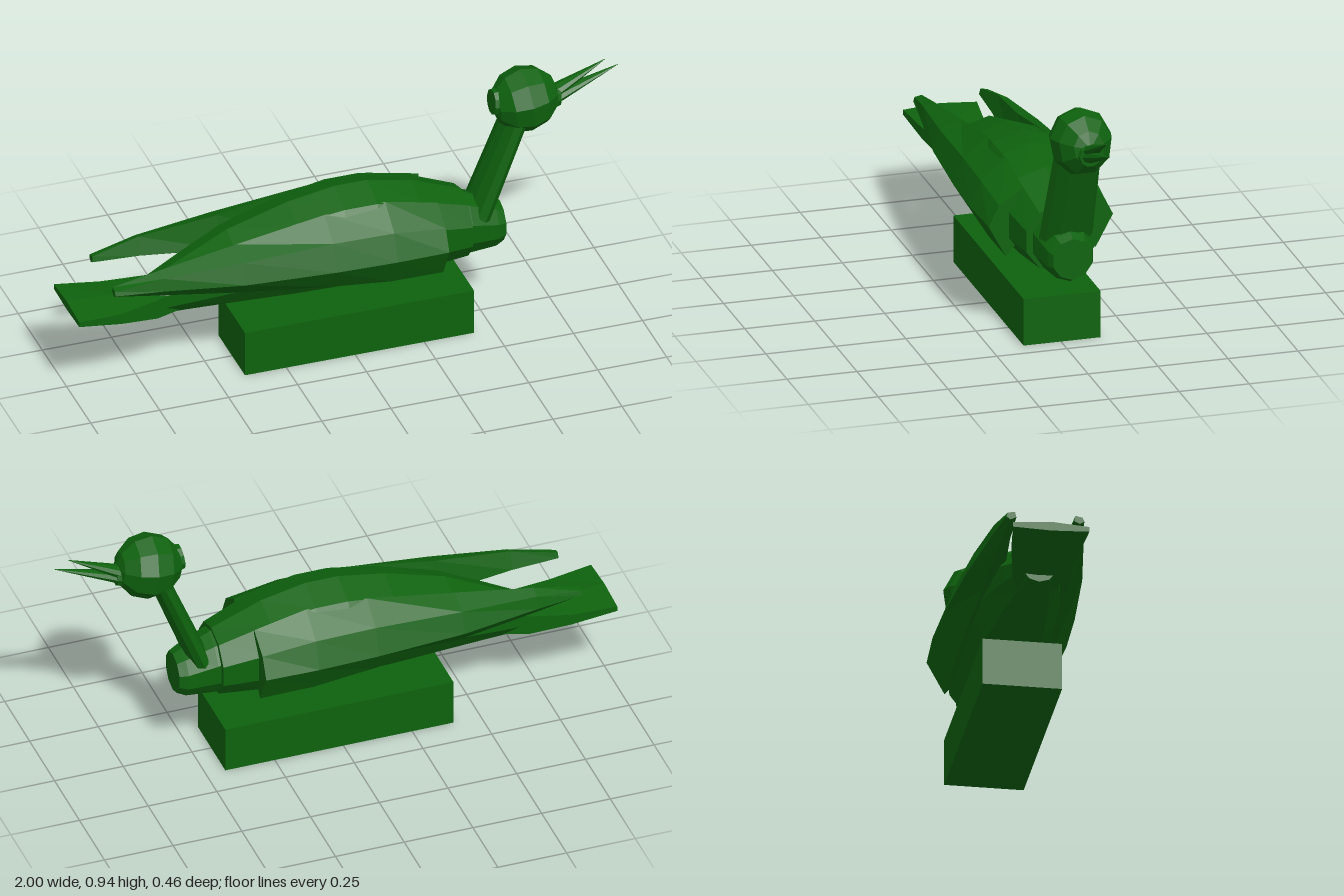
import * as THREE from 'three';

const material = new THREE.MeshStandardMaterial({ color: 0x0e620e, flatShading: true, side: THREE.DoubleSide });

// Skin a list of sections [x, [[z, y], ...]] running from back to front, with both ends capped.
function loft(sections) {
  const n = sections[0][1].length, pos = [], index = [];
  for (const [x, ring] of sections) for (const [z, y] of ring) pos.push(x, y, z);
  for (let s = 0; s < sections.length - 1; s++) {
    for (let j = 0; j < n; j++) {
      const a = s * n + j, b = s * n + (j + 1) % n;
      index.push(a, a + n, b, b, a + n, b + n);
    }
  }
  const last = (sections.length - 1) * n;
  for (let j = 1; j < n - 1; j++) {
    index.push(0, j, j + 1, last, last + j + 1, last + j);
  }
  const g = new THREE.BufferGeometry();
  g.setAttribute('position', new THREE.Float32BufferAttribute(pos, 3));
  g.setIndex(index);
  const flat = g.toNonIndexed();
  flat.computeVertexNormals();
  return flat;
}

// Polygonal oval between two heights, widest at its middle.
function oval(bottom, top, halfWidth, sides = 10) {
  return Array.from({ length: sides }, (_, i) => {
    const a = ((i + 0.5) / sides) * Math.PI * 2 ;
    return [Math.cos(a) * halfWidth, (top + bottom) / 2 + Math.sin(a) * (top - bottom) / 2 * 1.03];
  });
}

// Tapered round bar between two points; depth squashes it away from z.
function bar(p, q, r0, r1, sides, depth = 1) {
  const from = new THREE.Vector3(...p), to = new THREE.Vector3(...q);
  const dir = to.clone().sub(from);
  const g = new THREE.CylinderGeometry(r1, r0, dir.length(), sides);
  g.scale(depth, 1, 1);
  g.rotateZ(Math.atan2(dir.y, dir.x) - Math.PI / 2);
  g.translate(...from.add(to).multiplyScalar(0.5).toArray());
  return g;
}

export function createModel() {
  const model = new THREE.Group();
  model.name = 'swimmingBird';
  const add = (name, geometry) => {
    const mesh = new THREE.Mesh(geometry, material);
    mesh.name = name;
    model.add(mesh);
    return mesh;
  };

  // Base block
  add('base', new THREE.BoxGeometry(0.83, 0.17, 0.275)).position.set(0.015, 0.085, -0.004);

  // Body: x, bottom, top, half width
  const body = [
    [-0.74, 0.24, 0.35, 0.06], [-0.58, 0.245, 0.43, 0.1], [-0.42, 0.243, 0.51, 0.13],
    [-0.2, 0.24, 0.575, 0.165], [-0.03, 0.24, 0.603, 0.18], [0.09, 0.24, 0.603, 0.18],
    [0.25, 0.247, 0.57, 0.17], [0.43, 0.258, 0.5, 0.13],
  ];
  add('body', loft(body.map(([x, b, t, w]) => [x, oval(b, t, w)])));

  // Breast, stepping in from the body
  add('breast', loft([[0.3, 0.255, 0.53, 0.12], [0.44, 0.26, 0.485, 0.105], [0.54, 0.265, 0.44, 0.085],
    [0.57, 0.28, 0.425, 0.072]].map(([x, b, t, w]) => [x, oval(b, t, w)])));

  // Folded wings: low edge, widest edge, shoulder, top edge, inner edge
  const wing = [
    [-0.87, [[0.12, 0.405], [0.135, 0.415], [0.13, 0.43], [0.105, 0.435], [0.1, 0.415]]],
    [-0.7, [[0.135, 0.385], [0.16, 0.415], [0.15, 0.46], [0.115, 0.475], [0.095, 0.41]]],
    [-0.42, [[0.145, 0.345], [0.2, 0.405], [0.175, 0.48], [0.1, 0.512], [0.075, 0.39]]],
    [-0.1, [[0.16, 0.31], [0.225, 0.405], [0.19, 0.5], [0.1, 0.565], [0.08, 0.38]]],
    [0.12, [[0.165, 0.29], [0.232, 0.405], [0.195, 0.5], [0.1, 0.572], [0.08, 0.38]]],
    [0.31, [[0.16, 0.285], [0.222, 0.4], [0.185, 0.475], [0.1, 0.53], [0.08, 0.38]]],
  ];
  add('leftSideWing', loft(wing));
  add('rightSideWing', loft(wing.map(([x, ring]) => [x, ring.map(([z, y]) => [-z, y]).reverse()])));

  // Fanned tail
  const slab = (w, b, t) => [[w, b], [w, t - 0.01], [0, t], [-w, t - 0.01], [-w, b], [0, b - 0.005]];
  add('tail', loft([
    [-1, slab(0.132, 0.317, 0.345)], [-0.84, slab(0.112, 0.285, 0.335)],
    [-0.7, slab(0.085, 0.262, 0.345)], [-0.58, slab(0.05, 0.265, 0.36)],
  ]));

  // Neck, broad across and thin front to back
  add('neck', bar([0.485, 0.41, 0], [0.625, 0.76, 0], 0.096, 0.085, 10, 0.4));

  // Faceted head with a ring at the back and at the beak
  const head = new THREE.SphereGeometry(0.12, 9, 6);
  head.rotateZ(-Math.PI / 2 + 0.12);
  head.scale(1, 1, 0.92);
  add('head', head).position.set(0.66, 0.82, 0);
  add('napeRing', bar([0.6, 0.825, 0], [0.54, 0.83, 0], 0.055, 0.045, 10));
  add('beakRing', bar([0.72, 0.81, 0], [0.782, 0.808, 0], 0.055, 0.038, 10));

  // Open beak
  add('upperBeak', bar([0.75, 0.815, 0], [0.953, 0.915, -0.008], 0.036, 0.001, 8, 0.65));
  add('lowerBeak', bar([0.75, 0.795, 0], [1, 0.886, -0.004], 0.036, 0.001, 8, 0.65));

  return model;
}
